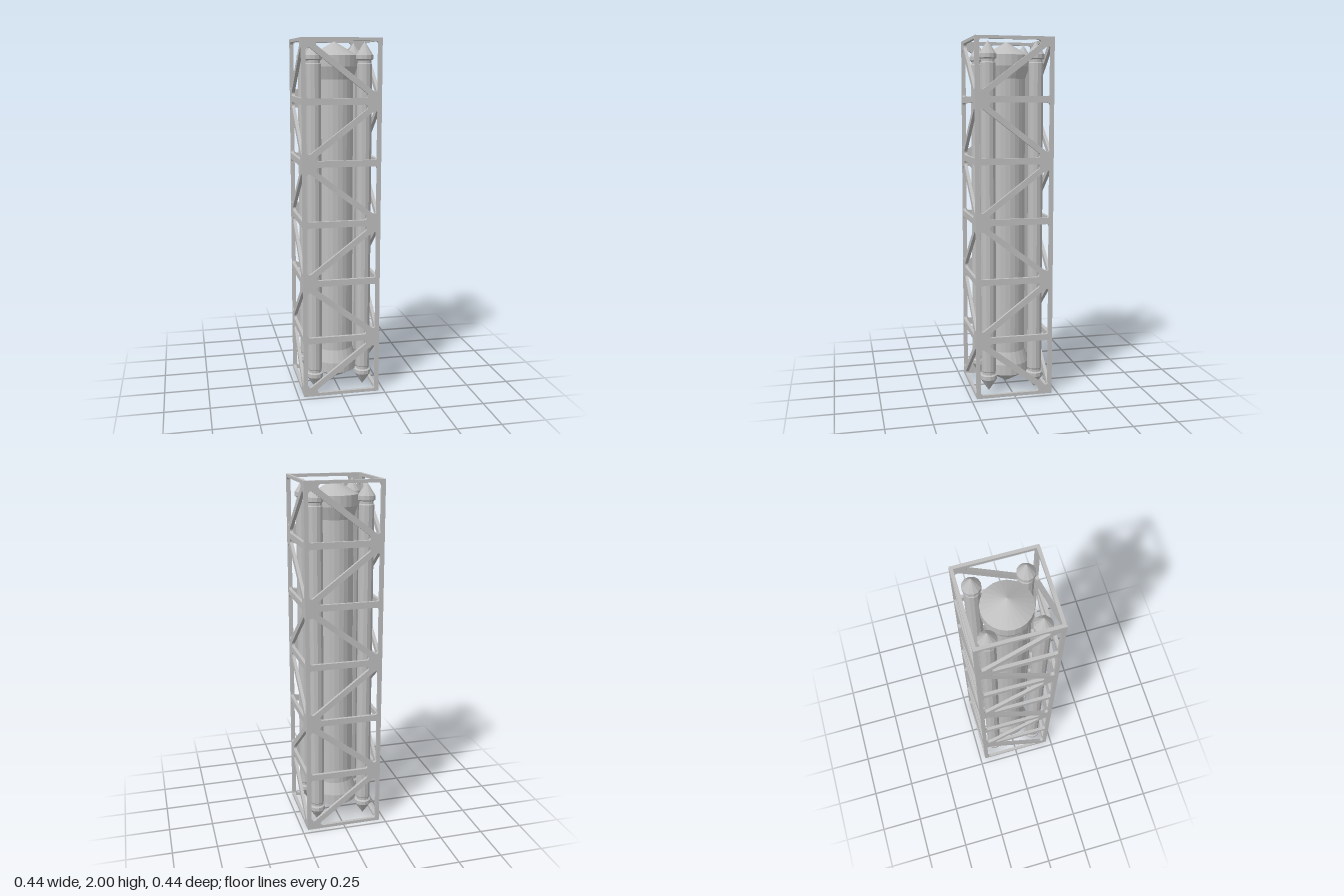
import * as THREE from 'three';

const HALF = 0.218;   // outer half width of the frame
const WALL = 0.018;   // panel thickness
const BAYS = 6;
const BAY = 2 / BAYS;

// Closed path around a polygon with every corner rounded to radius r
function roundedHole(points, r) {
  const path = new THREE.Path();
  const n = points.length;
  points.forEach((p, i) => {
    const a = points[(i + n - 1) % n].clone().sub(p).normalize();
    const b = points[(i + 1) % n].clone().sub(p).normalize();
    const half = Math.acos(a.dot(b)) / 2;
    const t = r / Math.tan(half);
    const center = p.clone().add(a.clone().add(b).normalize().multiplyScalar(r / Math.sin(half)));
    const s = p.clone().addScaledVector(a, t).sub(center);
    const e = p.clone().addScaledVector(b, t).sub(center);
    const start = Math.atan2(s.y, s.x);
    let sweep = Math.atan2(e.y, e.x) - start;
    sweep = Math.atan2(Math.sin(sweep), Math.cos(sweep));
    for (let k = 0; k <= 5; k++) {
      const ang = start + sweep * k / 5;
      const x = center.x + r * Math.cos(ang), y = center.y + r * Math.sin(ang);
      if (i === 0 && k === 0) path.moveTo(x, y);
      else path.lineTo(x, y);
    }
  });
  path.closePath();
  return path;
}

// Truss wall with two triangular openings per bay; flip mirrors the zigzag
function trussPanel(halfWidth, flip) {
  const shape = new THREE.Shape();
  shape.moveTo(-halfWidth, 0);
  shape.lineTo(halfWidth, 0);
  shape.lineTo(halfWidth, 2);
  shape.lineTo(-halfWidth, 2);
  shape.closePath();
  const w = 0.196, margin = 0.0175, strut = 0.016;
  const h = BAY - 2 * margin;
  const len = Math.hypot(2 * w, h);
  const dx = strut * len / h, dy = strut * len / (2 * w);
  for (let i = 0; i < BAYS; i++) {
    const low = i * BAY + margin, high = low + h;
    const s = (i % 2 ? 1 : -1) * flip;
    const v = (x, y) => new THREE.Vector2(x * s, y);
    shape.holes.push(
      roundedHole([v(-w, low), v(w - dx, low), v(-w, high - dy)], 0.014),
      roundedHole([v(w, high), v(-w + dx, high), v(w, low + dy)], 0.014));
  }
  return new THREE.ExtrudeGeometry(shape, { depth: WALL, bevelEnabled: false });
}

// Vessel symmetric about mid height, from the lower half of its profile
function vessel(lower, sides) {
  const upper = lower.slice().reverse().map(([r, y]) => [r, 2 - y]);
  const pts = [...lower, ...upper].map(([r, y]) => new THREE.Vector2(r, y));
  return new THREE.LatheGeometry(pts, sides);
}

export function createModel() {
  const model = new THREE.Group();
  const grey = new THREE.MeshStandardMaterial({ color: 0xbebebe, flatShading: true });
  grey.name = 'light grey metal';

  // Four truss walls, mirrored so the struts meet at the corners
  const frame = new THREE.Group();
  frame.name = 'trussFrame';
  ['frontTruss', 'leftTruss', 'backTruss', 'rightTruss'].forEach((name, i) => {
    const side = i % 2;
    const panel = new THREE.Mesh(trussPanel(side ? HALF - WALL : HALF, side ? -1 : 1), grey);
    panel.name = name;
    panel.position.z = HALF - WALL;
    const arm = new THREE.Group();
    arm.add(panel);
    arm.rotation.y = i * Math.PI / 2;
    frame.add(arm);
  });
  model.add(frame);

  // Main tank with flared collars and conical ends
  const tank = new THREE.Mesh(vessel(
    [[0, 0.015], [0.13, 0.09], [0.13, 0.15], [0.106, 0.22]], 24), grey);
  tank.name = 'mainTank';
  model.add(tank);

  // Four slim corner tanks with collared pointed caps
  const slim = vessel([[0, 0.018], [0.048, 0.09], [0.048, 0.112],
    [0.038, 0.118], [0.038, 0.132], [0.042, 0.138]], 12);
  for (const x of [-0.141, 0.141]) for (const z of [-0.134, 0.134]) {
    const bottle = new THREE.Mesh(slim, grey);
    bottle.name = 'cornerTank';
    bottle.position.set(x, 0, z);
    model.add(bottle);
  }
  return model;
}
